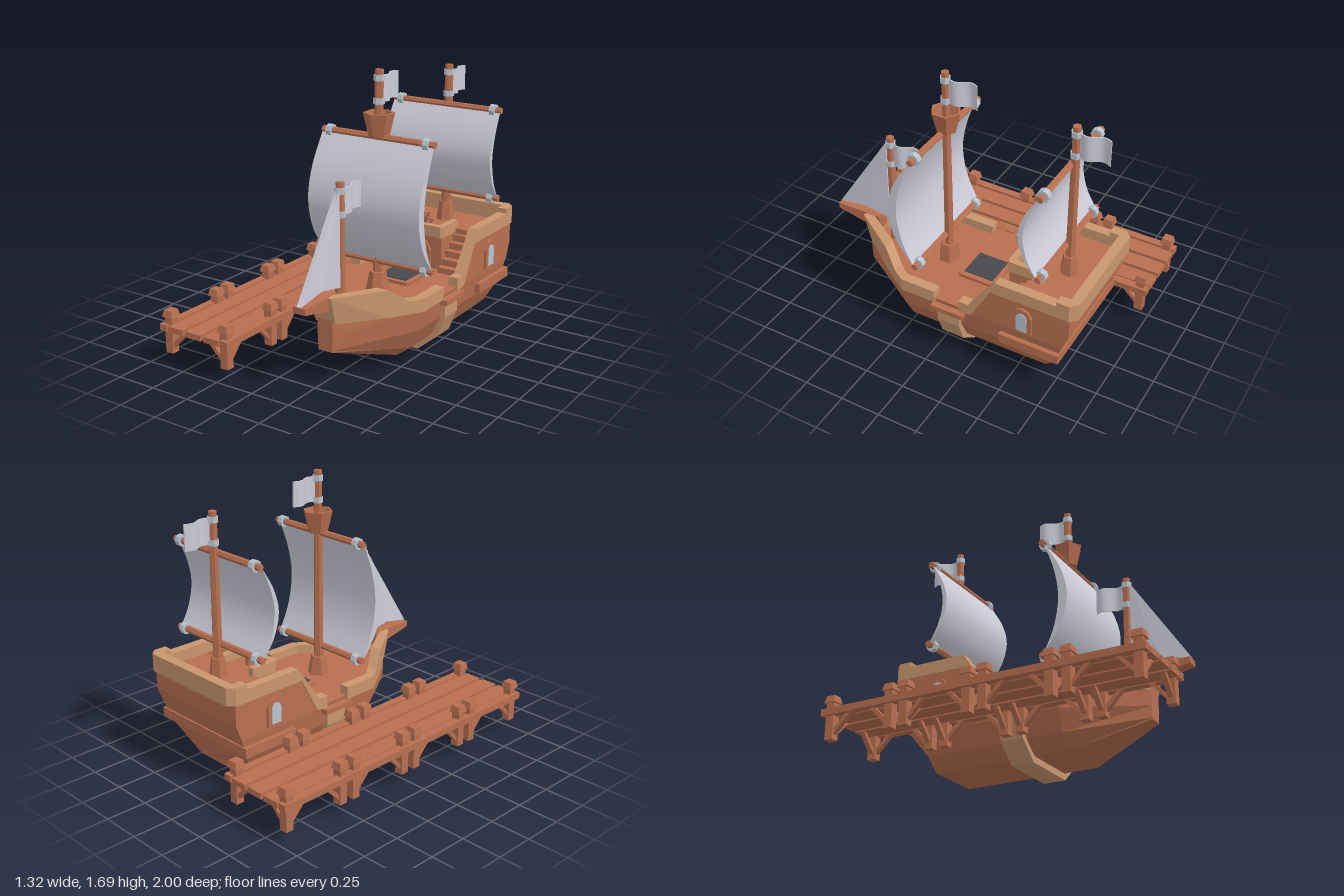
import * as THREE from 'three';
import { toCreasedNormals } from 'three/addons/utils/BufferGeometryUtils.js';

const material = (name, color) => {
  const m = new THREE.MeshStandardMaterial({ color });
  m.name = name;
  return m;
};

// Faceted normals
function flat(g) {
  const f = g.index ? g.toNonIndexed() : g;
  f.computeVertexNormals();
  return f;
}

// Closed solid through rings of points, turned outwards by its signed volume
function loft(rings) {
  const n = rings[0].length, last = (rings.length - 1) * n, idx = [];
  const p = rings.flat();
  for (let r = 0; r < rings.length - 1; r++) {
    for (let i = 0; i < n; i++) {
      const a = r * n + i, b = r * n + (i + 1) % n;
      idx.push(a, b, b + n, a, b + n, a + n);
    }
  }
  for (let i = 1; i < n - 1; i++) {
    idx.push(0, i + 1, i, last, last + i, last + i + 1);
  }
  let volume = 0;
  const v = p.map(q => new THREE.Vector3(...q));
  for (let i = 0; i < idx.length; i += 3) {
    volume += v[idx[i]].dot(v[idx[i + 1]].clone().cross(v[idx[i + 2]]));
  }
  if (volume < 0) idx.reverse();
  const g = new THREE.BufferGeometry();
  g.setAttribute('position', new THREE.Float32BufferAttribute(p.flat(), 3));
  g.setIndex(idx);
  return flat(g);
}

const extrude = (pts, depth) => new THREE.ExtrudeGeometry(
  new THREE.Shape(pts.map(q => new THREE.Vector2(...q))), { depth, bevelEnabled: false });
// Side outline [z, y], given width along x
const side = (pts, width) => extrude(pts, width).rotateY(-Math.PI / 2).translate(width / 2, 0, 0);
// Plan outline [x, z], raised from y0 to y1
const plan = (pts, y0, y1) => extrude(pts.map(([x, z]) => [x, -z]), y1 - y0)
  .rotateX(-Math.PI / 2).translate(0, y0, 0);
const box = (w, h, d) => new THREE.BoxGeometry(w, h, d);
const post = (top, bottom, h, n = 6) => flat(new THREE.CylinderGeometry(top, bottom, h, n));
const mirrorX = pts => [...pts, ...pts.map(([x, y]) => [-x, y]).reverse()];
// Arched outline around u, from y0 to y1
const arch = (u, w, y0, y1) => [[u - w, y0], [u + w, y0], [u + w, y1 - w * 0.9],
  [u + w * 0.6, y1 - w * 0.2], [u, y1], [u - w * 0.6, y1 - w * 0.2], [u - w, y1 - w * 0.9]];

export function createModel() {
  const wood = material('wood', 0xb86f50);
  const trim = material('light wood', 0xc9966f);
  const cloth = material('sail cloth', 0xcccdd9);
  const metal = material('pale metal', 0xb9c4cf);
  const dark = material('dark opening', 0x48484e);

  const model = new THREE.Group();
  const ship = new THREE.Group();
  ship.name = 'ship';
  ship.position.x = 0.255;
  const dock = new THREE.Group();
  dock.name = 'dock';
  dock.position.x = -0.415;
  model.add(ship, dock);
  const add = (parent, name, geo, mat, x = 0, y = 0, z = 0) => {
    const m = new THREE.Mesh(geo, mat);
    m.name = name;
    m.position.set(x, y, z);
    parent.add(m);
    return m;
  };

  // Hull: half sections [x, y, z] from bow to stern
  const halves = [
    [[0.045, 0.19, 0.66], [0.046, 0.2, 0.66], [0.05, 0.27, 0.66], [0.05, 0.385, 0.66]],
    [[0.185, 0.04, 0.2], [0.285, 0.115, 0.21], [0.345, 0.24, 0.22], [0.365, 0.385, 0.22]],
    [[0.185, 0.04, -0.5], [0.285, 0.115, -0.5], [0.345, 0.24, -0.5], [0.365, 0.385, -0.5]],
    [[0.185, 0.04, -0.69], [0.285, 0.12, -0.69], [0.345, 0.25, -0.78], [0.365, 0.385, -0.825]]
  ];
  add(ship, 'hull', loft(halves.map(h =>
    [...h, ...h.map(([x, y, z]) => [-x, y, z]).reverse()])), wood);
  add(ship, 'sternHull', side([[-0.53, 0.37], [-0.82, 0.37], [-0.86, 0.47],
    [-0.86, 0.61], [-0.53, 0.61]], 0.73), wood);
  add(ship, 'hullRib', extrude(mirrorX([[0.195, 0], [0.325, 0.11], [0.375, 0.24], [0.375, 0.35]]), 0.145),
    trim, 0, 0, -0.165);
  add(ship, 'boardingLedge', box(0.81, 0.03, 0.21), wood, 0, 0.345, -0.095);
  add(ship, 'sternWale', box(0.77, 0.06, 0.38), wood, 0, 0.29, -0.62);
  add(ship, 'bowsprit', side([[0.6, 0.43], [0.69, 0.445], [0.9, 0.49], [0.9, 0.527], [0.6, 0.527]], 0.08), wood);

  // Bow bulwark stations: z, outer x, inner x, top y, bottom setback
  const bow = [[0, 0.375, 0.315, 0.44, 0], [0.225, 0.375, 0.315, 0.44, 0], [0.3, 0.328, 0.255, 0.44, 0],
    [0.41, 0.255, 0.18, 0.525, 0], [0.695, 0.065, 0, 0.525, 0.04]];
  for (const s of [-1, 1]) {
    add(ship, 'bowBulwark', loft(bow.map(([z, o, i, top, back]) => [
      [s * o, 0.36, z - back], [s * o, top, z], [s * i, top, z], [s * i, 0.36, z - back]])), trim);
    // Stern bulwark with the wall beneath it
    add(ship, 'sternBulwark', side([[-0.165, 0.36], [-0.165, 0.44], [-0.23, 0.44], [-0.4, 0.68],
      [-0.79, 0.68], [-0.79, 0.6], [-0.37, 0.6], [-0.245, 0.37]], 0.06), trim, s * 0.345);
    add(ship, 'sternSideWall', side([[-0.23, 0.37], [-0.36, 0.61], [-0.55, 0.61], [-0.55, 0.37]], 0.05),
      wood, s * 0.34);
    add(ship, 'windowFrame', side(arch(-0.575, 0.06, 0.39, 0.565), 0.03), wood, s * 0.365);
    add(ship, 'windowPane', side(arch(-0.575, 0.034, 0.405, 0.535), 0.008), metal, s * 0.38);
    // Stairs to the aft deck
    for (let i = 0; i < 5; i++) {
      const h = 0.04 * (i + 1);
      add(ship, 'stairStep', box(0.165, h, 0.045), wood, s * 0.235, 0.38 + h / 2, -0.34 - i * 0.045);
    }
  }
  add(ship, 'sternRail', plan([[-0.375, -0.78], [-0.315, -0.78], [-0.315, -0.84], [0.315, -0.84],
    [0.315, -0.78], [0.375, -0.78], [0.375, -0.86], [0.335, -0.9], [-0.335, -0.9], [-0.375, -0.86]],
  0.6, 0.71), trim);

  // Cabin front, balcony rail, door and helm
  add(ship, 'cabin', box(0.29, 0.23, 0.19), wood, 0, 0.495, -0.465);
  add(ship, 'balconyRail', plan([[-0.155, -0.55], [-0.155, -0.375], [-0.14, -0.36], [0.14, -0.36],
    [0.155, -0.375], [0.155, -0.55], [0.115, -0.55], [0.115, -0.4], [-0.115, -0.4], [-0.115, -0.55]],
  0.59, 0.66), trim);
  add(ship, 'doorFrame', extrude(arch(0, 0.075, 0.385, 0.57), 0.02), wood, 0, 0, -0.375);
  add(ship, 'door', extrude(arch(0, 0.055, 0.386, 0.55), 0.006), dark, 0, 0, -0.357);
  add(ship, 'helmPost', box(0.03, 0.07, 0.03), wood, 0, 0.64, -0.45);
  add(ship, 'helmWheel', flat(new THREE.TorusGeometry(0.042, 0.008, 4, 8)), wood, 0, 0.675, -0.428);
  for (let i = 0; i < 3; i++) {
    add(ship, 'helmSpoke', box(0.115, 0.011, 0.011), wood, 0, 0.675, -0.428).rotation.z = i * Math.PI / 3;
  }

  // Deck hatch
  add(ship, 'hatchFrame', plan([[-0.128, -0.245], [-0.113, -0.26], [0.113, -0.26], [0.128, -0.245],
    [0.128, -0.025], [0.113, -0.01], [-0.113, -0.01], [-0.128, -0.025]], 0.375, 0.405), wood);
  add(ship, 'hatchOpening', box(0.19, 0.006, 0.19), dark, 0, 0.407, -0.135);

  // Masts with foot, bands and flag: z, base y, top y, foot top, foot radius
  for (const [z, y0, y1, footTop, footR] of [[0.51, 0.385, 1.13, 0.4, 0.035],
    [0.12, 0.385, 1.69, 0.5, 0.07], [-0.68, 0.6, 1.6, 0.73, 0.06]]) {
    add(ship, 'mast', post(0.025, 0.031, y1 - y0), wood, 0, (y0 + y1) / 2, z);
    add(ship, 'mastFoot', post(footR * 0.7, footR, footTop - y0), wood, 0, (y0 + footTop) / 2, z);
    for (const d of [0.047, 0.18]) {
      add(ship, 'mastBand', post(0.033, 0.033, 0.034), metal, 0, y1 - d, z);
    }
    const edge = off => Array.from({ length: 13 }, (_, i) =>
      [0.018 * Math.sin(i / 12 * Math.PI * 2) + off, z - 0.02 - i / 12 * 0.18]);
    add(ship, 'flag', toCreasedNormals(plan([...edge(-0.004), ...edge(0.004).reverse()],
      y1 - 0.19, y1 - 0.035), 0.7), cloth);
  }
  const nest = [[0, 1.31], [0.06, 1.31], [0.092, 1.445], [0.076, 1.445], [0.052, 1.345], [0, 1.345]];
  add(ship, 'crowsNest', flat(new THREE.LatheGeometry(
    nest.map(q => new THREE.Vector2(...q)), 6)), wood, 0, 0, 0.12);

  // Square sails: crescent outlines between two yards
  for (const [z, low, high, bulge, thick] of [[0.13, 0.57, 1.305, 0.165, 0.057],
    [-0.66, 0.81, 1.355, 0.125, 0.03]]) {
    const curve = b => new THREE.SplineCurve([[0.01, 0.01], [0.72 * b / bulge * bulge, 0.22], [b, 0.48],
      [0.72 * b, 0.74], [0.01, 0.99]].map(([d, t]) =>
      new THREE.Vector2(z + d, low + t * (high - low)))).getPoints(14).map(q => [q.x, q.y]);
    const outline = [...curve(bulge), ...curve(bulge - thick).reverse().slice(1, -1)];
    add(ship, 'squareSail', toCreasedNormals(side(outline, 0.744), 0.6), cloth);
    for (const y of [low, high]) {
      add(ship, 'yard', post(0.021, 0.021, 0.75).rotateZ(Math.PI / 2), wood, 0, y, z);
      for (const s of [-1, 1]) {
        add(ship, 'yardClamp', post(0.036, 0.036, 0.035, 8).rotateZ(Math.PI / 2), metal, s * 0.322, y, z);
      }
    }
  }

  // Jib, fuller along its middle crease
  for (const s of [-1, 1]) {
    add(ship, 'jib', loft([
      [[0, 1.09, 0.535], [0, 0.53, 0.535], [0, 0.565, 0.717], [0, 0.53, 0.9], [0, 0.77, 0.622]],
      [[s * 0.014, 1.09, 0.535], [s * 0.018, 0.53, 0.535], [s * 0.021, 0.565, 0.717],
        [s * 0.014, 0.53, 0.9], [s * 0.018, 0.77, 0.622]]]), cloth);
  }

  // Dock: three planks, side beams, and four bays of posts with braces
  for (const x of [-0.13, 0, 0.13]) add(dock, 'plank', box(0.108, 0.035, 2), wood, x, 0.238, 0);
  for (const s of [-1, 1]) {
    add(dock, 'sideBeam', box(0.05, 0.04, 2), wood, s * 0.222, 0.24, 0);
    for (const bay of [-0.75, -0.25, 0.25, 0.75]) {
      for (const e of [-1, 1]) {
        const z = bay + e * 0.2;
        add(dock, 'dockPost', box(0.052, 0.23, 0.052), wood, s * 0.203, 0.195, z);
        add(dock, 'postCap', post(0.04, 0.052, 0.042, 4).rotateY(Math.PI / 4), wood, s * 0.203, 0.32, z);
        add(dock, 'crossBrace', box(0.17, 0.024, 0.03), wood, s * 0.14, 0.168, z).rotation.z = -s * 0.8;
        add(dock, 'longBrace', box(0.03, 0.024, 0.17), wood, s * 0.203, 0.168, z - e * 0.063).rotation.x = e * 0.8;
      }
    }
  }
  return model;
}
